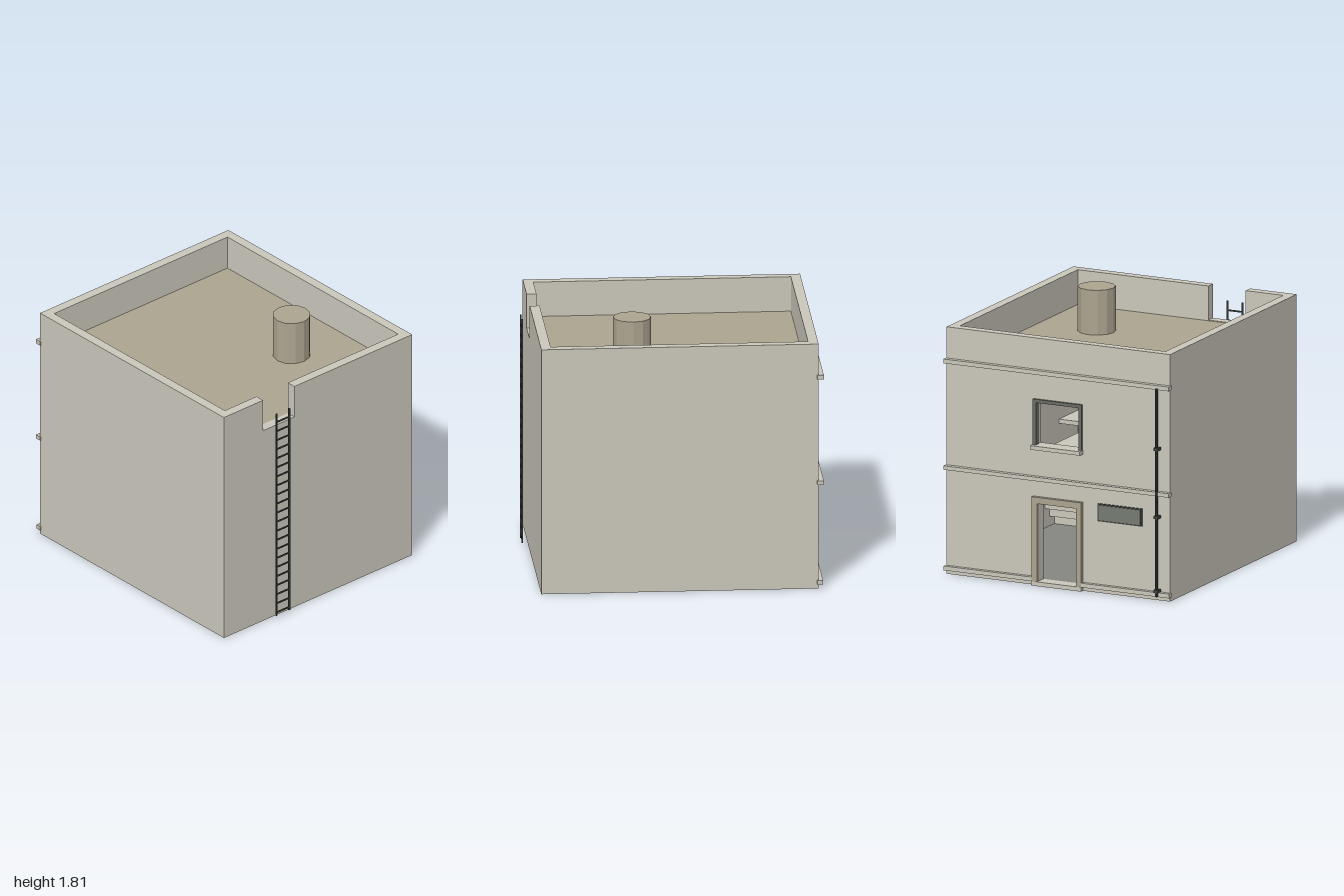
import * as THREE from 'three';

const mat = (name, color) => {
  const m = new THREE.MeshStandardMaterial({ color });
  m.name = name;
  return m;
};

export function createModel() {
  const wall = mat('pale plaster', 0xcac7bb);
  const roofTan = mat('roof tan', 0xaca490);
  const floorGrey = mat('floor grey', 0x858782);
  const metal = mat('dark metal', 0x3f423f);
  const frameGrey = mat('window frame grey', 0x6a6b64);
  const signGrey = mat('sign grey', 0x757a72);

  const model = new THREE.Group();
  model.name = 'building';

  const add = (parent, name, geo, material) => {
    const mesh = new THREE.Mesh(geo, material);
    mesh.name = name;
    parent.add(mesh);
    return mesh;
  };
  // box given by its limits on each axis
  const box = (parent, name, material, x0, x1, y0, y1, z0, z1) => {
    const mesh = add(parent, name, new THREE.BoxGeometry(x1 - x0, y1 - y0, z1 - z0), material);
    mesh.position.set((x0 + x1) / 2, (y0 + y1) / 2, (z0 + z1) / 2);
    return mesh;
  };
  // upright faceted cylinder
  const post = (parent, name, material, r, x, y0, y1, z, sides) => {
    const geo = new THREE.CylinderGeometry(r, r, y1 - y0, sides).toNonIndexed();
    geo.computeVertexNormals();
    add(parent, name, geo, material).position.set(x, (y0 + y1) / 2, z);
  };
  const group = (name) => {
    const g = new THREE.Group();
    g.name = name;
    model.add(g);
    return g;
  };
  const polygon = (points) => points.map(([x, y]) => new THREE.Vector2(x, y));
  const rect = (x0, x1, y0, y1) => polygon([[x0, y0], [x0, y1], [x1, y1], [x1, y0]]);

  const W = 0.857, H = 1.74, D = 0.95, T = 0.068, ROOF = 1.495;

  // Walls: pierced back wall, notched front wall, plain sides
  const walls = group('walls');
  const backShape = new THREE.Shape(polygon([[-W, 0], [W, 0], [W, H], [-W, H]]));
  backShape.holes.push(new THREE.Path(rect(-0.15, 0.15, 0.03, 0.58)));
  backShape.holes.push(new THREE.Path(rect(-0.17, 0.17, 0.99, 1.295)));
  const slab = { depth: T, bevelEnabled: false };
  add(walls, 'backWall', new THREE.ExtrudeGeometry(backShape, slab), wall).position.z = -D;

  const frontShape = new THREE.Shape(polygon([
    [-W, 0], [W, 0], [W, H], [-0.215, H], [-0.215, 1.5], [-0.5, 1.5], [-0.5, H], [-W, H],
  ]));
  add(walls, 'frontWall', new THREE.ExtrudeGeometry(frontShape, slab), wall).position.z = D - T;
  for (const s of [-1, 1]) {
    const a = s * W, b = s * (W - T);
    box(walls, s > 0 ? 'leftWall' : 'rightWall', wall,
      Math.min(a, b), Math.max(a, b), 0, H, -D + T, D - T);
  }

  // Floors and roof deck inside the shell
  const ix = W - T, iz = D - T;
  box(model, 'groundFloor', floorGrey, -ix, ix, 0.002, 0.03, -iz, iz);
  box(model, 'roofDeck', roofTan, -ix, ix, 1.45, ROOF, -iz, iz);
  const upper = group('upperFloor');
  box(upper, 'floorMain', wall, -ix, 0.5, 0.72, 0.75, -iz, iz);
  box(upper, 'floorNearBack', wall, 0.5, ix, 0.72, 0.75, -iz, -0.1);
  box(upper, 'floorNearFront', wall, 0.5, ix, 0.72, 0.75, 0.6, iz);

  // Inner stairs
  const stairs = group('stairs');
  for (let i = 0; i < 10; i++) {
    const y = 0.03 + (i + 1) * 0.068;
    box(stairs, 'step', wall, 0.5, ix, y - 0.068, y, 0.53 - i * 0.07, 0.6 - i * 0.07);
  }

  // Roof vent
  post(model, 'roofVent', roofTan, 0.13, 0.34, ROOF, 1.81, 0.29, 12);

  // Horizontal mouldings on the back wall
  const belts = group('mouldings');
  for (const [y0, y1] of [[1.49, 1.52], [0.74, 0.768]])
    box(belts, 'moulding', wall, -0.865, 0.865, y0, y1, -0.985, -D + 0.01);
  for (const [x0, x1] of [[-0.865, -0.19], [0.19, 0.865]])
    box(belts, 'baseMoulding', wall, x0, x1, 0.03, 0.06, -0.98, -D + 0.01);

  // Door surround
  const door = group('doorFrame');
  for (const s of [-1, 1])
    box(door, 'doorJamb', roofTan, s * 0.17 - 0.02, s * 0.17 + 0.02, 0.03, 0.625, -0.978, -D);
  box(door, 'doorLintel', roofTan, -0.15, 0.15, 0.58, 0.625, -0.978, -D);
  box(door, 'doorStep', wall, -0.19, 0.19, 0, 0.03, -0.98, -D);

  // Window frame and sill
  const win = group('windowFrame');
  for (const s of [-1, 1])
    box(win, 'windowJamb', frameGrey, s * 0.175 - 0.012, s * 0.175 + 0.012, 0.99, 1.312, -0.968, -D + 0.02);
  box(win, 'windowHead', frameGrey, -0.163, 0.163, 1.288, 1.312, -0.968, -D + 0.02);
  box(win, 'windowSill', wall, -0.19, 0.19, 0.962, 0.99, -1.0, -D);

  // Blank sign panel with a dark rim
  box(model, 'signRim', metal, -0.645, -0.305, 0.505, 0.63, -0.957, -D);
  box(model, 'signPanel', signGrey, -0.635, -0.315, 0.515, 0.62, -0.962, -0.957);

  // Downpipe with brackets
  const pipe = group('downpipe');
  post(pipe, 'pipe', metal, 0.011, -0.77, 0.03, 1.5, -0.98, 8);
  for (const y of [0.07, 0.59, 1.07])
    box(pipe, 'pipeBracket', metal, -0.787, -0.753, y - 0.01, y + 0.01, -0.993, -D);

  // Ladder on the front wall
  const ladder = group('ladder');
  for (const x of [-0.417, -0.302])
    box(ladder, 'ladderRail', metal, x - 0.006, x + 0.006, 0.03, 1.62, 0.99, 1.0);
  for (let i = 0; i < 22; i++) {
    const y = 0.053 + i * 0.0715;
    box(ladder, 'ladderRung', metal, -0.417, -0.302, y - 0.005, y + 0.005, 0.991, 0.999);
  }

  return model;
}
